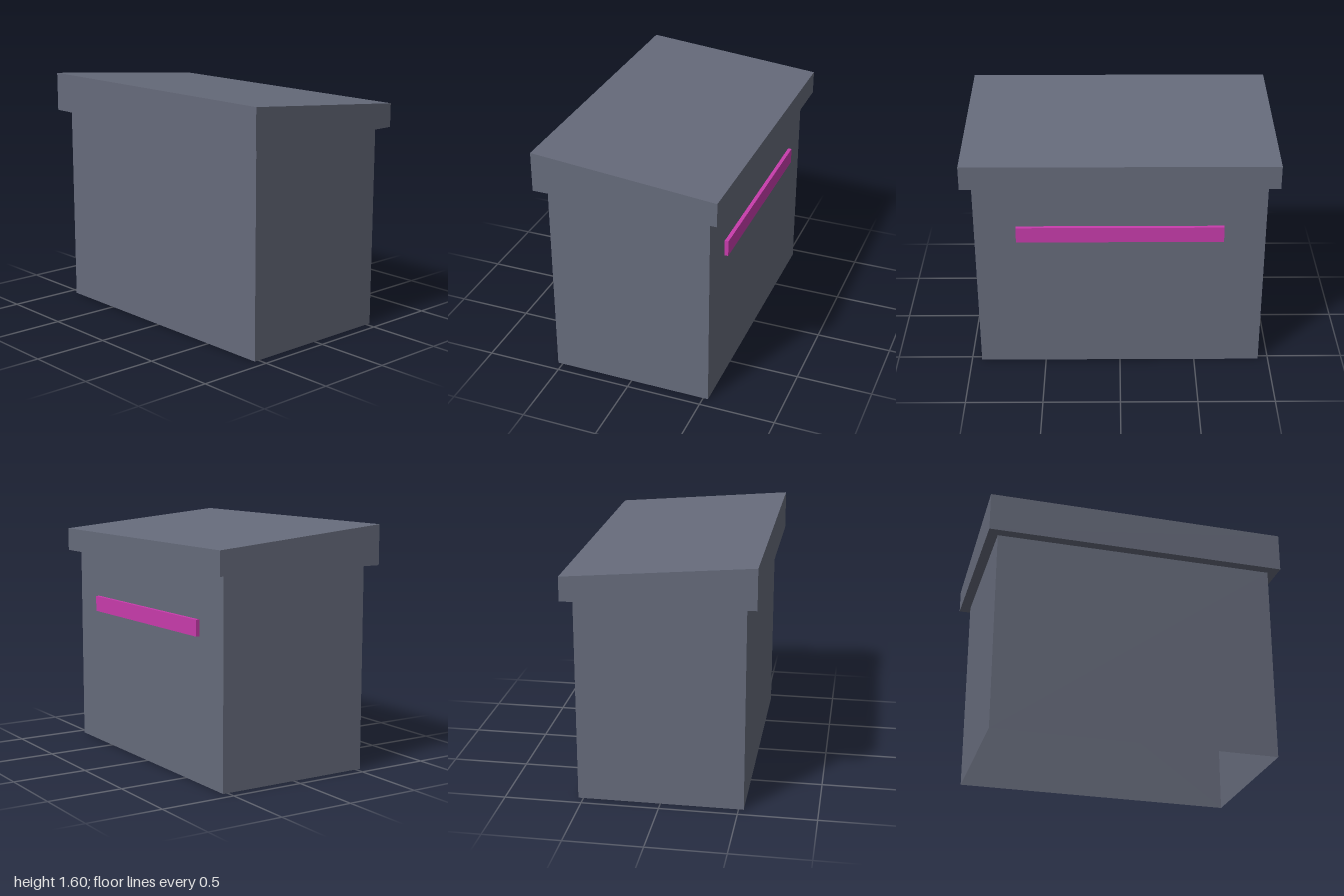
import * as THREE from 'three';

// Rectangular ring of four corners; the back edge may sit at a different height
const ring = (x, z, yFront, yBack = yFront) => [
  [-x, yFront, z], [x, yFront, z], [x, yBack, -z], [-x, yBack, -z],
];

// Flat-sided surface through a stack of rings, optionally closed at the top
function loft(rings, capTop) {
  const pos = [];
  const quad = (a, b, c, d) => pos.push(...a, ...b, ...c, ...a, ...c, ...d);
  for (let r = 0; r < rings.length - 1; r++) {
    for (let i = 0; i < 4; i++) {
      const j = (i + 1) % 4;
      quad(rings[r][i], rings[r][j], rings[r + 1][j], rings[r + 1][i]);
    }
  }
  if (capTop) quad(...rings[rings.length - 1]);
  const geo = new THREE.BufferGeometry();
  geo.setAttribute('position', new THREE.Float32BufferAttribute(pos, 3));
  geo.computeVertexNormals();
  return geo;
}

export function createModel() {
  const group = new THREE.Group();
  group.name = 'box';

  const slate = new THREE.MeshStandardMaterial({ color: 0x666b7b, side: THREE.DoubleSide });
  slate.name = 'slateGrey';
  const magenta = new THREE.MeshStandardMaterial({ color: 0xc83cac });
  magenta.name = 'magenta';

  const add = (name, geo, mat) => {
    const mesh = new THREE.Mesh(geo, mat);
    mesh.name = name;
    group.add(mesh);
    return mesh;
  };

  // Thin walls, open at the bottom
  const bodyTop = ring(0.933, 0.533, 1.34);
  add('body', loft([ring(0.933, 0.533, 0), bodyTop], false), slate);

  // Overhanging lid, sloping down towards the back
  add('lid', loft([bodyTop, ring(1, 0.6, 1.34), ring(1, 0.6, 1.6, 1.495)], true), slate);

  // Bar across the back wall
  add('backBar', new THREE.BoxGeometry(1.33, 0.105, 0.025), magenta)
    .position.set(0, 0.988, -0.5455);

  return group;
}
